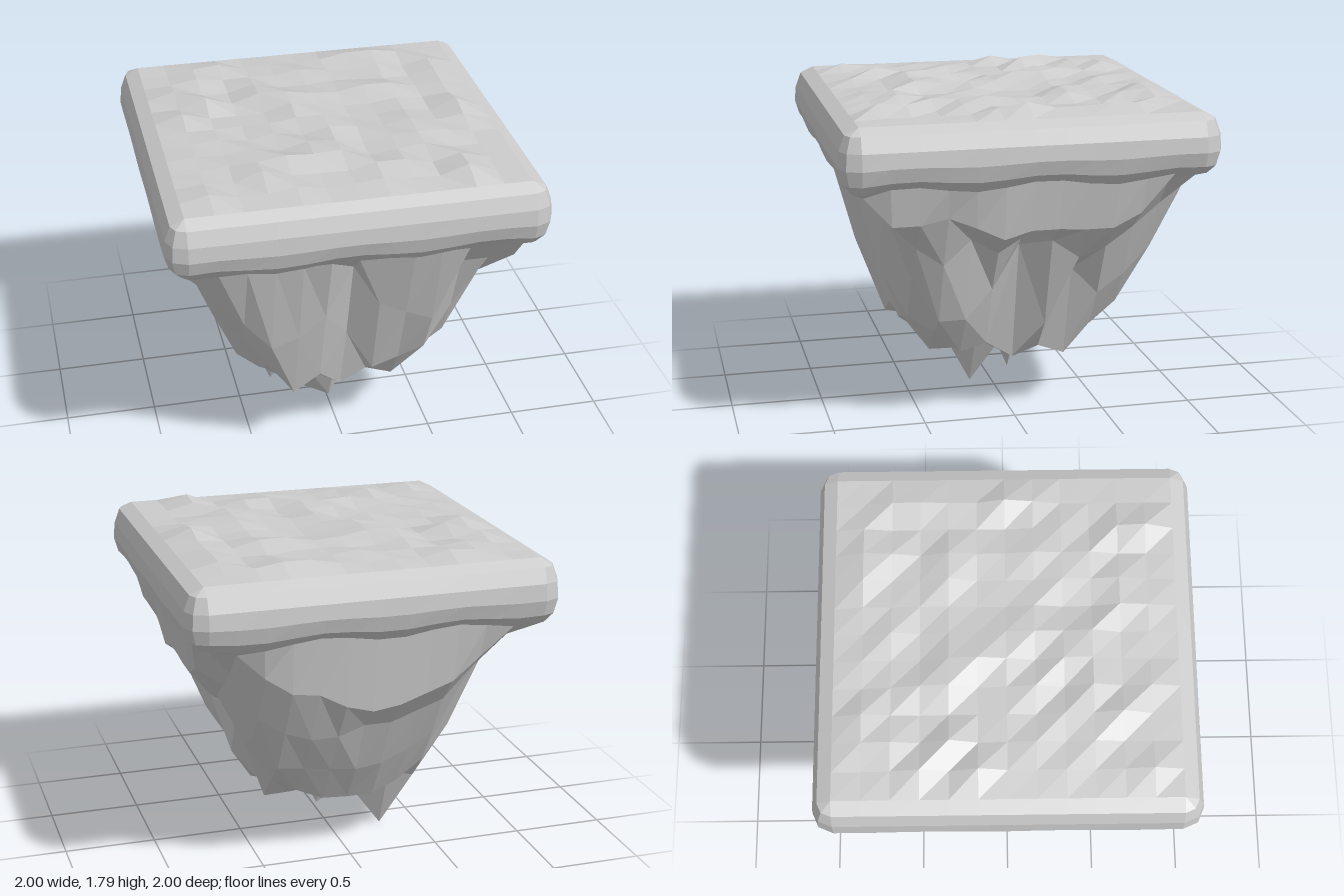
import * as THREE from 'three';

const N = 6, STEP = 0.148, EDGE = N * STEP, FOOT = 0.87;

// seeded noise 0..1 for a grid point
function noise(i, j, seed) {
  const s = Math.sin(i * 127.1 + j * 311.7 + seed * 74.7) * 43758.5453;
  return s - Math.floor(s);
}

// heights of the rock's outer rings, along each side from -ring to +ring
const SIDES = {
  6: {
    right: [1.4, 1.38, 1.21, 1.14, 1.14, 1.15, 1.15, 1.11, 1.18, 1.24, 1.21, 1.21, 1.4],
    back: [1.4, 1.33, 1.22, 1.1, 1.05, 1.0, 0.98, 1.02, 1.1, 1.12, 1.22, 1.36, 1.4],
    front: Array(13).fill(1.37),
    left: Array(13).fill(1.37),
  },
  5: {
    right: [1.22, 1.1, 1.0, 0.95, 1.05, 1.14, 1.0, 1.08, 0.95, 1.05, 1.21],
    back: [1.3, 1.1, 0.95, 0.9, 0.85, 0.85, 0.8, 0.8, 0.85, 0.95, 1.22],
    front: [1.15, 0.97, 0.8, 0.85, 0.96, 1.25, 1.0, 0.93, 0.87, 1.21, 1.21],
    left: [1.3, 1.15, 1.0, 1.1, 1.25, 1.05, 1.2, 0.98, 1.1, 0.97, 1.15],
  },
  4: {
    right: [0.8, 0.7, 0.85, 0.55, 1.0, 0.76, 0.6, 0.6, 0.85],
    back: [0.95, 0.7, 0.62, 0.56, 0.54, 0.56, 0.58, 0.6, 0.8],
    front: [0.8, 0.6, 0.4, 0.5, 0.75, 0.5, 0.55, 0.6, 0.85],
    left: [0.95, 0.68, 0.6, 0.75, 0.9, 0.65, 0.8, 0.6, 0.8],
  },
};

// hanging points near the centre
const SPIKES = { '-2,-1': 0, '0,1': 0.04, '-1,1': 0.12, '-1,-1': 0.2, '0,0': 0.29, '-2,0': 0.34, '-3,-1': 0.36 };

function rockY(i, j) {
  const m = Math.max(Math.abs(i), Math.abs(j));
  if (m >= 4) {
    const s = SIDES[m];
    if (j === m) return s.front[i + m];
    if (j === -m) return s.back[i + m];
    return i === m ? s.right[j + m] : s.left[j + m];
  }
  const key = `${i},${j}`;
  if (key in SPIKES) return SPIKES[key];
  const corner = Math.abs(i) === 3 && Math.abs(j) === 3 ? 0.14 : 0;
  return 0.32 + corner + 0.16 * noise(i, j, 3) ** 2;
}

// gently bumpy top, level at its border
function topY(i, j) {
  if (Math.max(Math.abs(i), Math.abs(j)) === N) return 1.735;
  return 1.738 + 0.057 * noise(i, j, 8) ** 2;
}

function flatMesh(name, tris) {
  const geo = new THREE.BufferGeometry().setFromPoints(tris);
  geo.computeVertexNormals();
  const mesh = new THREE.Mesh(geo, new THREE.MeshStandardMaterial({ color: 0xcccccc, flatShading: true }));
  mesh.name = name;
  return mesh;
}

// square grid of heights, facing up or down
function heightGrid(half, yAt, down) {
  const tris = [], s = half / N;
  const at = (i, j) => new THREE.Vector3(i * s, yAt(i, j), j * s);
  for (let i = -N; i < N; i++) {
    for (let j = -N; j < N; j++) {
      const a = at(i, j), b = at(i + 1, j), c = at(i + 1, j + 1), d = at(i, j + 1);
      if (!down) tris.push(a, d, c, a, c, b);
      else if (i * j > 0) tris.push(a, c, d, a, b, c);
      else tris.push(a, b, d, b, c, d);
    }
  }
  return tris;
}

// square loop with cut corners; yAt gives the height per grid point
function ring(h, yAt) {
  const pts = [], edge = Math.min(EDGE, h), c = edge + 0.7 * (h - edge);
  for (let k = 0; k < 4; k++) {
    for (let t = -N; t <= N + 1; t++) {
      const cut = t > N;
      let x = cut ? c : h, z = cut ? c : (t / N) * edge;
      let i = N, j = Math.min(t, N);
      for (let r = 0; r < k; r++) {
        [x, z] = [-z, x];
        [i, j] = [-j, i];
      }
      pts.push(new THREE.Vector3(x, yAt(i, j), z));
    }
  }
  return pts;
}

// joins loops listed from top to bottom
function loft(rings) {
  const tris = [];
  for (let r = 0; r + 1 < rings.length; r++) {
    const A = rings[r], B = rings[r + 1];
    A.forEach((p, s) => {
      const n = (s + 1) % A.length;
      tris.push(p, A[n], B[n], p, B[n], B[s]);
    });
  }
  return tris;
}

export function createModel() {
  const group = new THREE.Group();
  group.name = 'floatingIsland';
  const wavy = (y, amp) => (i, j) => y + amp * Math.sin(i * 1.3 + j * 1.3 + 0.6);
  const level = (y) => () => y;
  const lip = ring(0.925, wavy(1.405, 0.02));

  // top slab: bumpy ground and rounded rim
  group.add(flatMesh('ground', heightGrid(EDGE, topY, false)));
  group.add(flatMesh('rim', loft([
    ring(EDGE, level(1.735)),
    ring(0.96, level(1.7)),
    ring(0.99, level(1.62)),
    ring(0.998, wavy(1.535, 0.006)),
    ring(0.975, wavy(1.455, 0.012)),
    lip,
  ])));

  // jagged rock hanging below
  group.add(flatMesh('rock', [
    ...loft([lip, ring(FOOT, rockY)]),
    ...heightGrid(FOOT, rockY, true),
  ]));
  return group;
}
